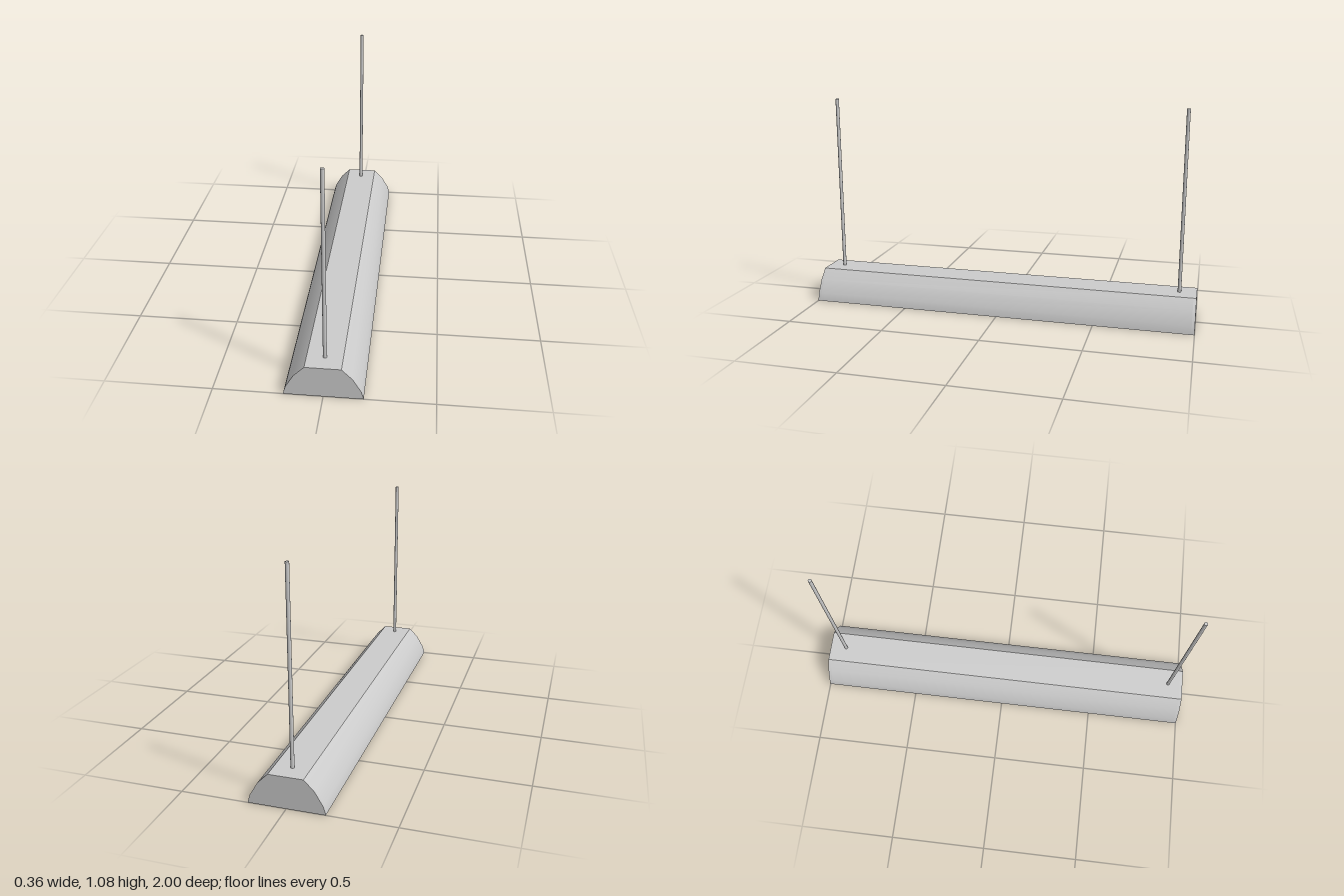
import * as THREE from 'three';
import { toCreasedNormals } from 'three/addons/utils/BufferGeometryUtils.js';

const grey = new THREE.MeshStandardMaterial({ color: 0xcccccc });

// Right half of the housing section, from rim to flat top
const outer = [[0.18, 0], [0.178, 0.01], [0.169, 0.04], [0.131, 0.105], [0.082, 0.155]];
const inner = [[0.168, 0], [0.166, 0.01], [0.158, 0.036], [0.122, 0.097], [0.077, 0.144]];
const mirrored = (half) => half.map(([x, y]) => [-x, y]).reverse();
const toShape = (points) => new THREE.Shape(points.map(([x, y]) => new THREE.Vector2(x, y)));

export function createModel() {
  const model = new THREE.Group();

  const add = (name, geometry, x = 0, y = 0, z = 0) => {
    const mesh = new THREE.Mesh(geometry, grey);
    mesh.name = name;
    mesh.position.set(x, y, z);
    model.add(mesh);
    return mesh;
  };
  const extrude = (shape, depth) => toCreasedNormals(
    new THREE.ExtrudeGeometry(shape, { depth, bevelEnabled: false }), 0.5);

  // Hollow reflector housing, open underneath
  const full = [...outer, ...mirrored(outer)];
  const shell = [...full, ...[...inner, ...mirrored(inner)].reverse()];
  const length = 1.97;
  add('housing', extrude(toShape(shell), length), 0, 0, -length / 2);

  // Solid end plates
  const plate = extrude(toShape(full), 0.015);
  add('frontEndPlate', plate, 0, 0, 0.985);
  add('backEndPlate', plate, 0, 0, -1);

  // Ballast cover along the ceiling of the housing
  add('ballastCover', new THREE.BoxGeometry(0.07, 0.05, 1.88), 0, 0.12, 0);

  // Fluorescent tubes held between the end plates
  const tube = new THREE.CylinderGeometry(0.025, 0.025, 1.97, 20).rotateX(Math.PI / 2);
  for (const [side, x] of [['left', 0.065], ['right', -0.065]]) {
    add(side + 'LampTube', tube, x, 0.055, 0);
  }

  // Suspension rods
  const rod = new THREE.CylinderGeometry(0.009, 0.009, 0.93, 16);
  add('frontRod', rod, 0, 0.615, 0.92);
  add('backRod', rod, 0, 0.615, -0.913);

  return model;
}
